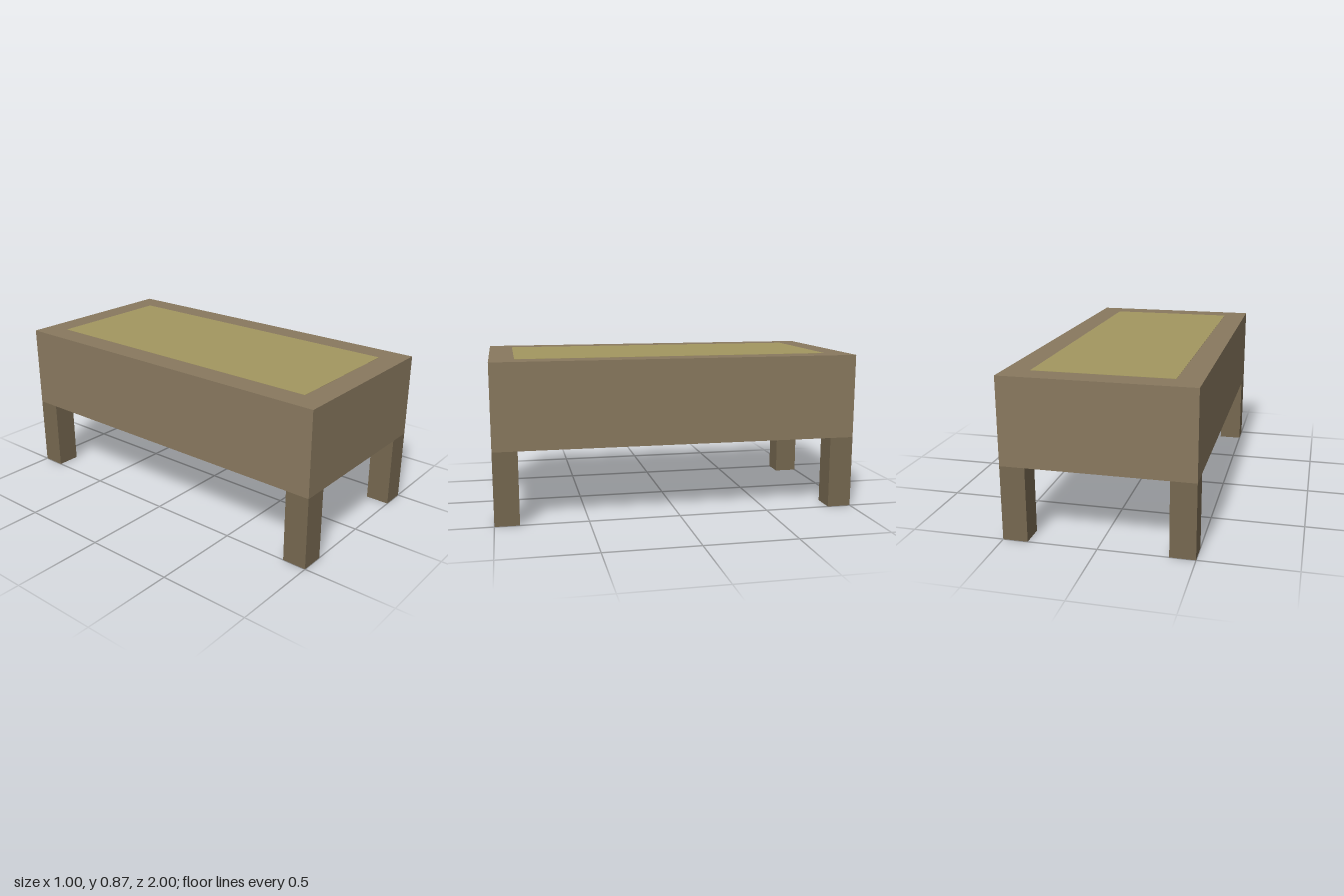
import * as THREE from 'three';

const WIDTH = 1, LENGTH = 2, HEIGHT = 0.866, LEG_HEIGHT = 0.4, LEG = 0.133;

function box(name, size, position, material) {
  const mesh = new THREE.Mesh(new THREE.BoxGeometry(...size), material);
  mesh.name = name;
  mesh.position.set(...position);
  return mesh;
}

export function createModel() {
  const model = new THREE.Group();
  model.name = 'table';
  const wood = new THREE.MeshStandardMaterial({ color: 0x89795f });
  const darkWood = new THREE.MeshStandardMaterial({ color: 0x766850 });
  const panel = new THREE.MeshStandardMaterial({ color: 0xa39760 });

  // Deep table body
  const bodyHeight = HEIGHT - LEG_HEIGHT;
  model.add(box('body', [WIDTH, bodyHeight, LENGTH], [0, LEG_HEIGHT + bodyHeight / 2, 0], wood));

  // Thin inlay, practically flush with the top, leaving a border as wide as a leg
  const inlay = 0.02;
  model.add(box('topInlay', [WIDTH - 2 * LEG, inlay, LENGTH - 2 * LEG],
    [0, HEIGHT + 0.001 - inlay / 2, 0], panel));

  // Square legs, flush with the corners
  for (const [side, sx] of [['Left', 1], ['Right', -1]]) {
    for (const [end, sz] of [['front', 1], ['back', -1]]) {
      model.add(box(`${end}${side}Leg`, [LEG, LEG_HEIGHT, LEG],
        [sx * (WIDTH - LEG) / 2, LEG_HEIGHT / 2, sz * (LENGTH - LEG) / 2], darkWood));
    }
  }
  return model;
}
